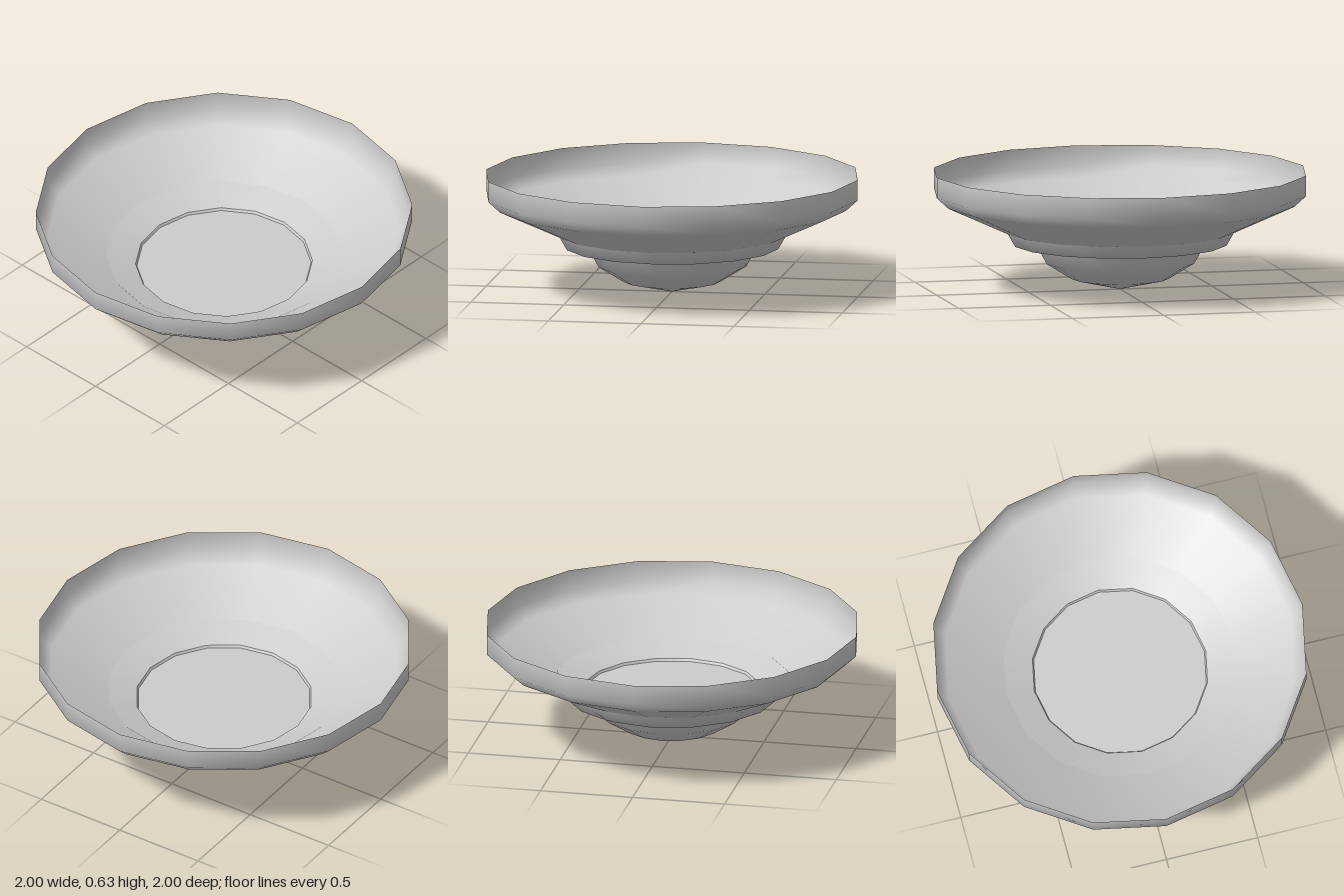
import * as THREE from 'three';

const SIDES = 16;

export function createModel() {
  const group = new THREE.Group();
  const grey = new THREE.MeshStandardMaterial({ color: 0xcccccc, side: THREE.DoubleSide });
  grey.name = 'light grey';

  // Each part is a 16-sided turned profile of [radius, height] points
  const turn = (name, profile) => {
    const points = profile.map(([r, y]) => new THREE.Vector2(r, y));
    const mesh = new THREE.Mesh(new THREE.LatheGeometry(points, SIDES), grey);
    mesh.name = name;
    group.add(mesh);
  };

  // Outside, listed from the bottom up
  turn('dome', [[0, 0], [0.26, 0.06], [0.4, 0.147], [0.455, 0.247]]);
  turn('collar', [[0.45, 0.245], [0.572, 0.245], [0.612, 0.314]]);
  turn('bowl', [[0.612, 0.314], [0.937, 0.462], [1, 0.52], [1, 0.63]]);

  // Inside, listed from the outer edge to the centre
  turn('innerCollar', [[0.625, 0.324], [0.47, 0.268]]);
  turn('innerStep', [[0.47, 0.268], [0.463, 0.254]]);
  turn('floor', [[0.463, 0.254], [0, 0.254]]);

  return group;
}
